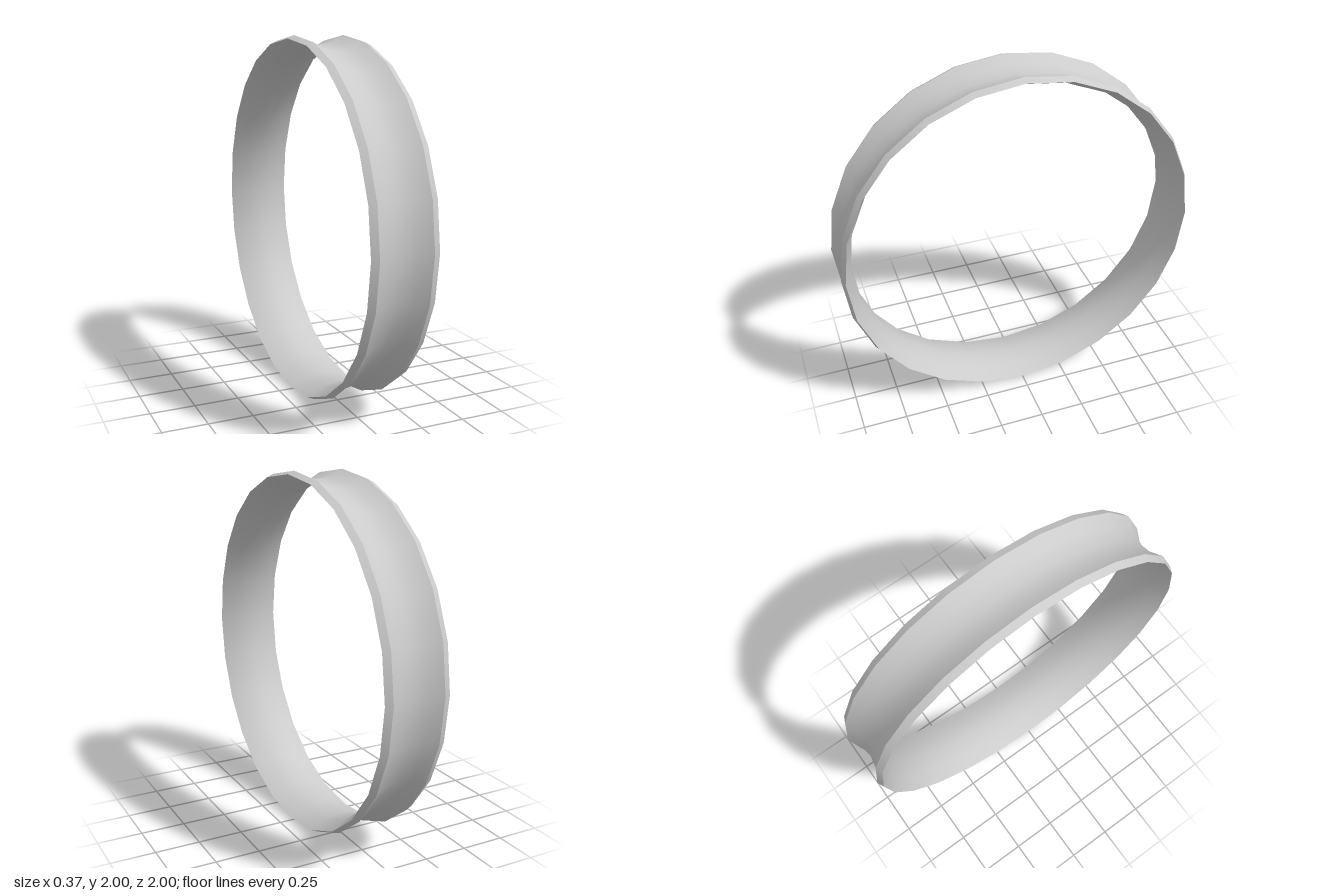
import * as THREE from 'three';

const SIDES = 24;

// Points [radius, x] on an arc curving towards the axis at its middle
function arc(midRadius, edgeRadius, halfWidth, steps) {
  const sag = edgeRadius - midRadius;
  const R = (halfWidth * halfWidth + sag * sag) / (2 * sag);
  const span = Math.asin(halfWidth / R);
  return Array.from({ length: steps + 1 }, (_, i) => {
    const a = span * (2 * i / steps - 1);
    return [midRadius + R * (1 - Math.cos(a)), R * Math.sin(a)];
  });
}

export function createModel() {
  const ring = new THREE.Group();
  ring.name = 'ring';
  const material = new THREE.MeshStandardMaterial({ color: 0xcccccc });

  // Revolve a profile round the x axis; separate bands keep the rim edges sharp
  const addBand = (name, points) => {
    const profile = points.map(([r, x]) => new THREE.Vector2(r, x));
    const geometry = new THREE.LatheGeometry(profile, SIDES);
    geometry.rotateZ(-Math.PI / 2);
    const mesh = new THREE.Mesh(geometry, material);
    mesh.name = name;
    mesh.position.y = 1;
    ring.add(mesh);
  };

  const outer = arc(0.95, 1, 0.145, 4);
  const inner = arc(0.925, 0.983, 0.183, 4).reverse();

  addBand('outerGroove', outer);
  addBand('leftRim', [outer[4], inner[0]]);
  addBand('innerSurface', inner);
  addBand('rightRim', [inner[4], outer[0]]);

  return ring;
}
